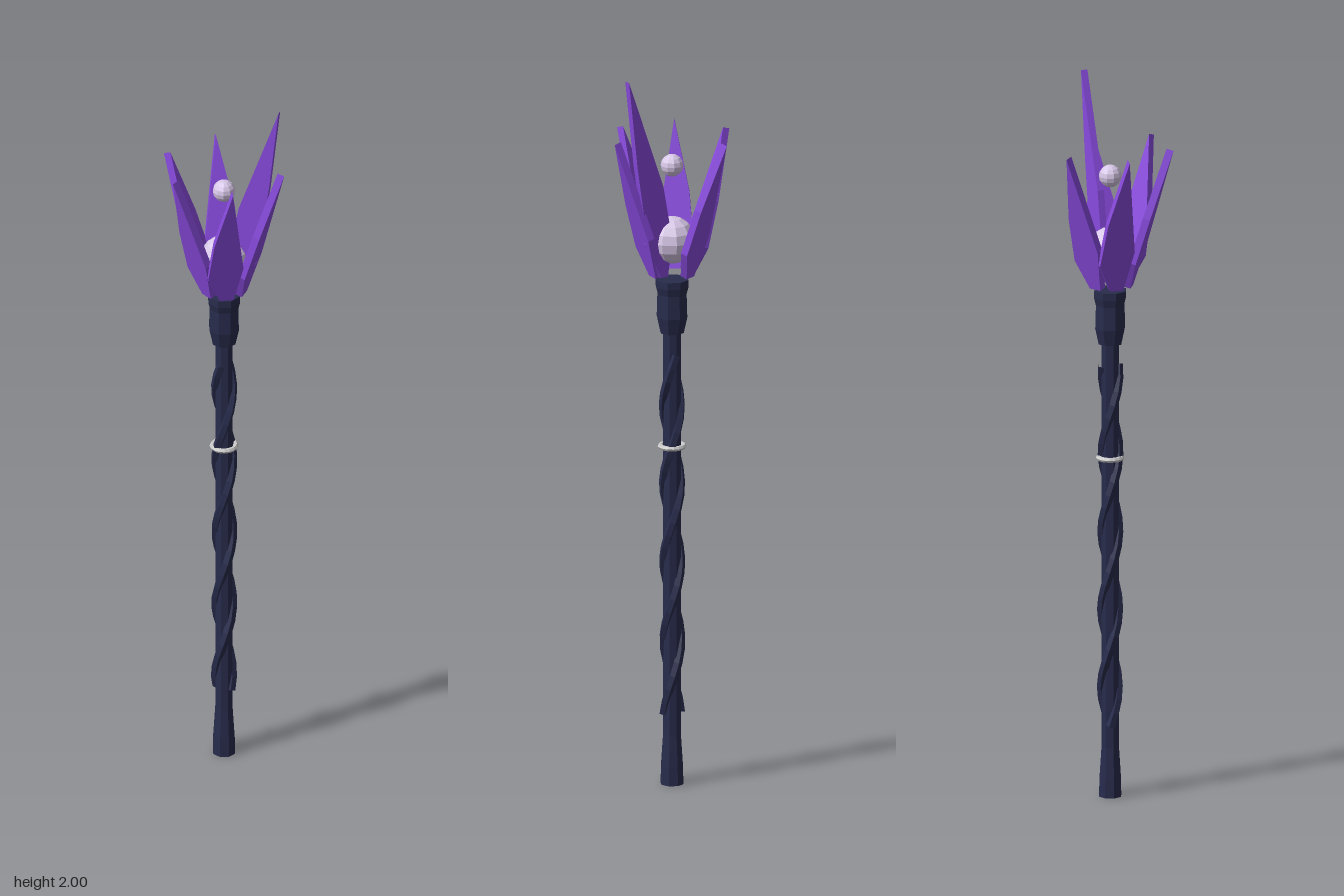
import * as THREE from 'three';

const mat = (color, side = THREE.FrontSide) =>
  new THREE.MeshStandardMaterial({ color, flatShading: true, side });
const navy = mat(0x282c4c);
const purple = mat(0x8a4be0);
const lilac = mat(0xd8c8e8);
const grey = mat(0xcccccc);

function add(parent, name, geometry, material) {
  const mesh = new THREE.Mesh(geometry, material);
  mesh.name = name;
  parent.add(mesh);
  return mesh;
}

// Flat plate with its thickness centred on the outline's plane
function plate(points, depth) {
  const shape = new THREE.Shape(points.map(([x, y]) => new THREE.Vector2(x, y)));
  const g = new THREE.ExtrudeGeometry(shape, { depth, bevelEnabled: false });
  return g.translate(0, 0, -depth / 2);
}

const lathe = (profile, sides) =>
  new THREE.LatheGeometry(profile.map(([r, y]) => new THREE.Vector2(r, y)), sides);

// Spiral path wound around the shaft
class Spiral extends THREE.Curve {
  constructor(phase) {
    super();
    this.phase = phase;
  }
  getPoint(t, target = new THREE.Vector3()) {
    const y = 0.2 + 1.01 * t;
    const a = this.phase - (y * Math.PI * 2) / 0.44;
    return target.set(0.023 * Math.cos(a), y, 0.023 * Math.sin(a));
  }
}

export function createModel() {
  const staff = new THREE.Group();
  staff.name = 'crystalStaff';
  staff.position.set(-0.01, 0, 0.003);

  // Shaft with a flared foot
  add(staff, 'shaft', lathe([[0, 0], [0.032, 0], [0.031, 0.05], [0.025, 0.14],
    [0.025, 1.28], [0, 1.28]], 8), navy);

  // Two strands twisted around the shaft
  for (let i = 0; i < 2; i++) {
    add(staff, 'spiralStrand', new THREE.TubeGeometry(new Spiral(i * Math.PI), 28, 0.013, 5), navy);
  }

  // Collar under the crystals
  add(staff, 'collar', lathe([[0, 1.27], [0.033, 1.27], [0.043, 1.315], [0.041, 1.38],
    [0.046, 1.4], [0.046, 1.42], [0, 1.42]], 8), navy);

  // Grip ring
  const ring = add(staff, 'gripRing', new THREE.TorusGeometry(0.032, 0.007, 6, 16), grey);
  ring.rotation.x = Math.PI / 2;
  ring.position.y = 0.95;

  // Orbs
  const orb = add(staff, 'orb', new THREE.SphereGeometry(0.065, 10, 8), lilac);
  orb.position.y = 1.53;
  const smallOrb = add(staff, 'floatingOrb', new THREE.SphereGeometry(0.031, 10, 8), lilac);
  smallOrb.position.y = 1.74;

  // Five leaning crystal blades, 60 degrees apart, one slot left open
  const blade = plate([[-0.018, 0], [0.02, 0], [0.055, 0.08], [0.043, 0.21],
    [0, 0.405], [-0.04, 0.12]], 0.02);
  for (let i = 0; i < 5; i++) {
    const pivot = new THREE.Group();
    pivot.name = 'crystalBlade' + (i + 1);
    // Local +z turns to the outward direction
    const outward = THREE.MathUtils.degToRad(2 + 60 * i);
    pivot.rotation.y = Math.PI / 2 - outward;
    const mesh = add(pivot, 'blade', blade, purple);
    mesh.scale.x = -1;
    mesh.position.set(0, 1.435, 0.05);
    mesh.rotation.x = 0.29;
    staff.add(pivot);
  }

  // Tall upright blade standing edge-on
  const tall = add(staff, 'tallBlade', plate([[0.025, 1.435], [0.05, 1.435], [0.09, 1.53],
    [0.125, 1.76], [0.152, 2], [0.04, 1.69], [0.012, 1.54]], 0.019), purple);
  tall.rotation.y = 0.07;
  tall.position.z = -0.01;

  const model = new THREE.Group();
  model.name = 'model';
  model.add(staff);
  return model;
}
